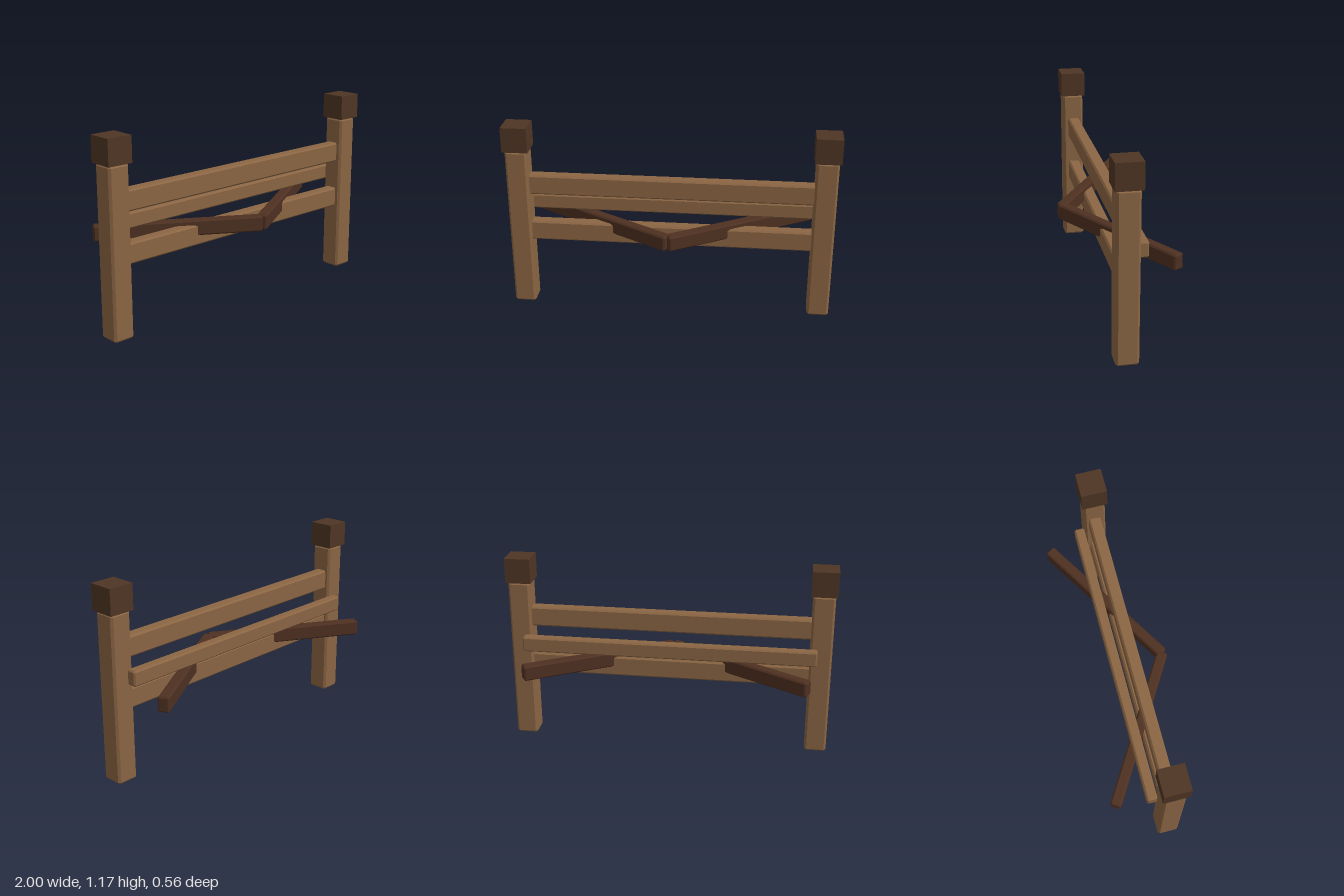
import * as THREE from 'three';
import { ConvexGeometry } from 'three/addons/geometries/ConvexGeometry.js';

// Box with every edge cut by a flat chamfer c
function chamferBox(w, h, d, c) {
  const points = [];
  for (const sx of [-1, 1]) for (const sy of [-1, 1]) for (const sz of [-1, 1]) {
    const x = w / 2, y = h / 2, z = d / 2;
    points.push(
      new THREE.Vector3(sx * x, sy * (y - c), sz * (z - c)),
      new THREE.Vector3(sx * (x - c), sy * y, sz * (z - c)),
      new THREE.Vector3(sx * (x - c), sy * (y - c), sz * z));
  }
  return new ConvexGeometry(points);
}

export function createModel() {
  const group = new THREE.Group();
  const material = (name, color) => {
    const m = new THREE.MeshStandardMaterial({ color });
    m.name = name;
    return m;
  };
  const wood = material('wood', 0x8a6543);
  const darkWood = material('darkWood', 0x4f3524);
  const braceWood = material('braceWood', 0x4e3021);

  const add = (name, geometry, mat, x, y, z, turn = 0) => {
    const mesh = new THREE.Mesh(geometry, mat);
    mesh.name = name;
    mesh.position.set(x, y, z);
    mesh.rotation.y = turn;
    group.add(mesh);
  };

  // Posts, square caps and the two angled braces meeting at the front
  const post = chamferBox(0.133, 1.02, 0.133, 0.013);
  const cap = new THREE.BoxGeometry(0.156, 0.154, 0.156);
  const brace = chamferBox(1.0, 0.094, 0.066, 0.009);
  for (const [side, s] of [['left', 1], ['right', -1]]) {
    add(side + 'Post', post, wood, s * 0.922, 0.51, 0.05);
    add(side + 'PostCap', cap, darkWood, s * 0.922, 1.097, 0.05);
    add(side + 'Brace', brace, braceWood, s * 0.427, 0.535, 0, s * 0.543);
  }

  // Two wide rails between the posts, and a narrow one behind them
  const rail = chamferBox(1.8, 0.125, 0.075, 0.01);
  add('upperRail', rail, wood, 0, 0.797, 0.047);
  add('lowerRail', rail, wood, 0, 0.491, 0.047);
  add('backRail', chamferBox(1.8, 0.094, 0.063, 0.009), wood, 0, 0.643, -0.049);

  return group;
}
